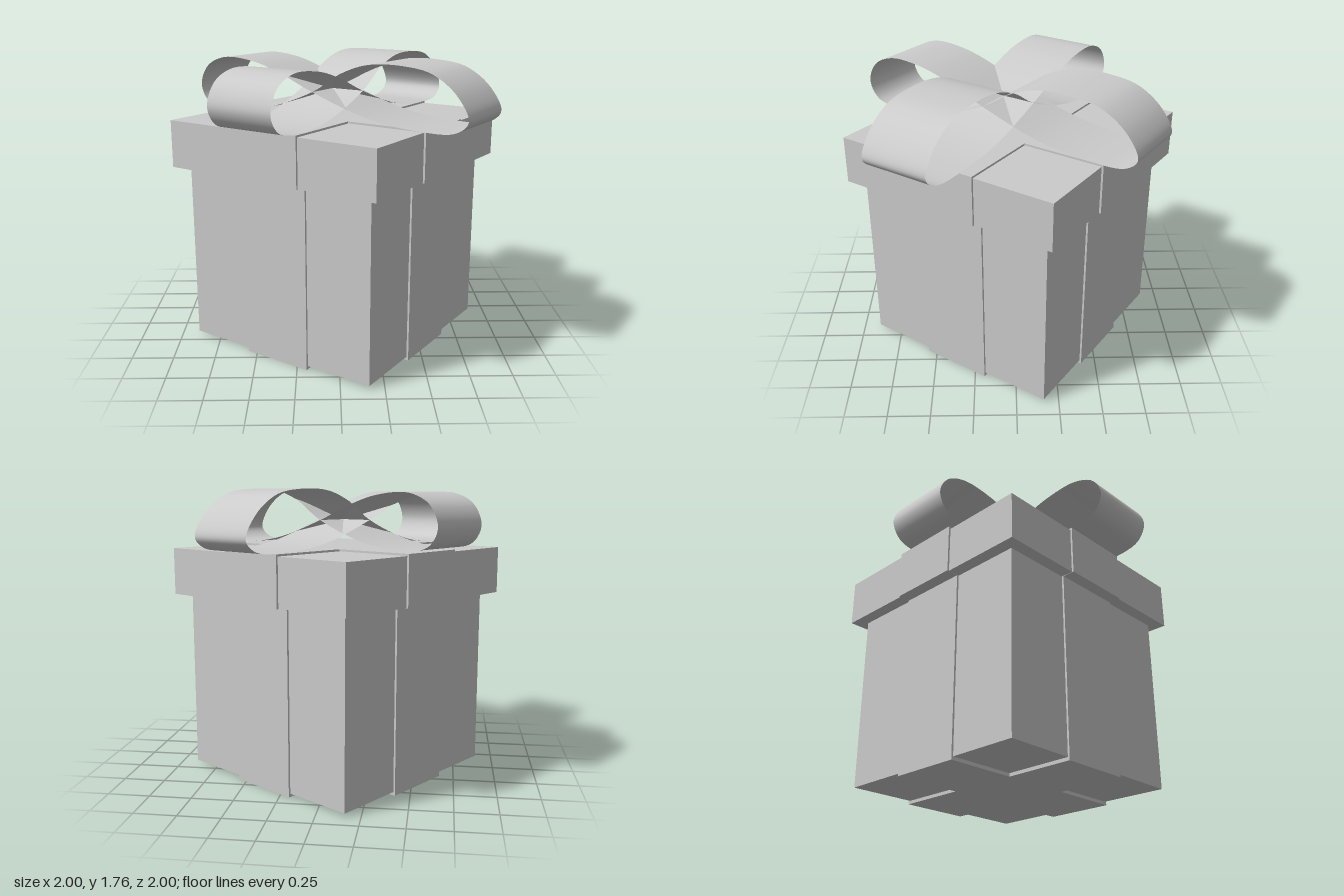
import * as THREE from 'three';

const grey = new THREE.MeshStandardMaterial({ color: 0xcccccc });
const cloth = new THREE.MeshStandardMaterial({ color: 0xcccccc, side: THREE.DoubleSide });

const BODY = 1.286, LID = 1.437, RIBBON = 0.44;
const BASE = 0.02, LID_BOTTOM = 1.11, LID_TOP = 1.396;

function box(name, w, y0, y1, d) {
  const mesh = new THREE.Mesh(new THREE.BoxGeometry(w, y1 - y0, d), grey);
  mesh.name = name;
  mesh.position.y = (y0 + y1) / 2;
  return mesh;
}

// A flat strip swept across its width along a closed side profile
function stripGeometry(profile, width, steps) {
  const curve = new THREE.CatmullRomCurve3(
    profile.map(([s, y]) => new THREE.Vector3(s, y, 0)), true, 'centripetal');
  const pos = [], idx = [];
  for (let i = 0; i < steps; i++) {
    const p = curve.getPoint(i / steps);
    pos.push(p.x, p.y, width / 2, p.x, p.y, -width / 2);
    const a = 2 * i, b = 2 * ((i + 1) % steps);
    idx.push(a, a + 1, b, b, a + 1, b + 1);
  }
  const geo = new THREE.BufferGeometry();
  geo.setAttribute('position', new THREE.Float32BufferAttribute(pos, 3));
  geo.setIndex(idx);
  geo.computeVertexNormals();
  return geo;
}

export function createModel() {
  const model = new THREE.Group();
  model.name = 'giftBox';

  const gift = new THREE.Group();
  gift.name = 'turnedBox';
  gift.rotation.y = -0.607;
  model.add(gift);

  gift.add(box('body', BODY, BASE, LID_BOTTOM + 0.02, BODY));
  gift.add(box('lid', LID, LID_BOTTOM, LID_TOP, LID));

  // Ribbon bands wrapped round the body and the lid, one each way
  const t = 0.024;
  for (const turn of [0, Math.PI / 2]) {
    const bodyBand = box('bodyRibbon', BODY + t, 0, LID_BOTTOM + 0.01, RIBBON);
    const lidBand = box('lidRibbon', LID + t, LID_BOTTOM - 0.002, LID_TOP + 0.012, RIBBON);
    bodyBand.rotation.y = lidBand.rotation.y = turn;
    gift.add(bodyBand, lidBand);
  }

  // Bow: two crossed figure-eight ribbons, each with a long and a short loop
  const profile = [
    [0, 1.57], [0.2, 1.69], [0.38, 1.75], [0.6, 1.757], [0.78, 1.725], [0.93, 1.62],
    [1.0, 1.49], [0.93, 1.425], [0.7, 1.412], [0.38, 1.45],
    [0, 1.57], [-0.25, 1.67], [-0.45, 1.725], [-0.68, 1.735], [-0.82, 1.67],
    [-0.875, 1.55], [-0.82, 1.45], [-0.68, 1.415], [-0.38, 1.44],
  ];
  const bowGeometry = stripGeometry(profile, 0.43, 160);
  const bow = new THREE.Group();
  bow.name = 'bow';
  bow.position.set(0.01, 0, 0.07);
  for (const turn of [0, Math.PI / 2]) {
    const loops = new THREE.Mesh(bowGeometry, cloth);
    loops.name = 'bowLoops';
    loops.rotation.y = turn;
    bow.add(loops);
  }
  gift.add(bow);

  return model;
}
